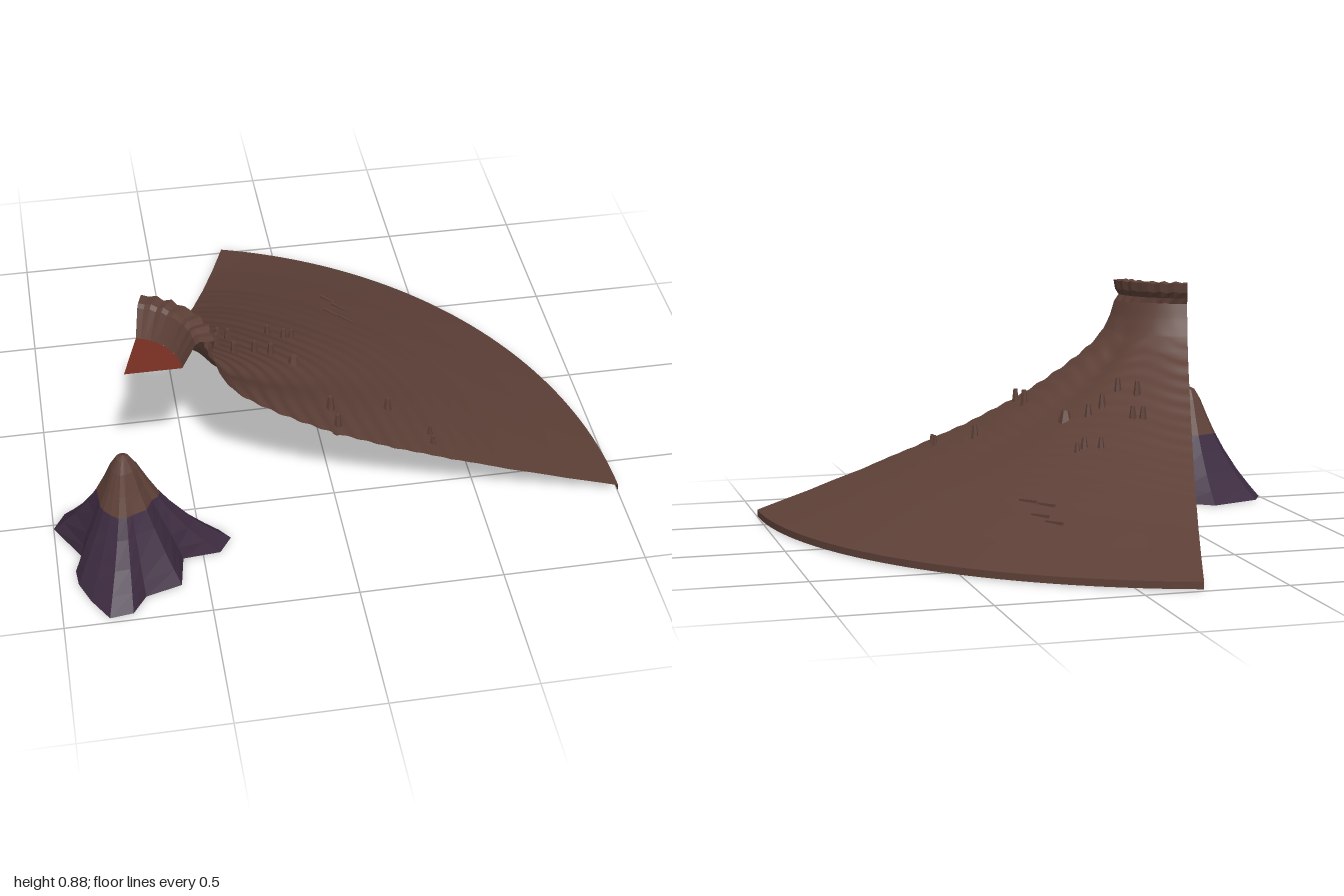
import * as THREE from 'three';

const CX = -0.725, CZ = 0.659, R = 1.725, SWEEP = 1.265, NECK = 0.265;

const mat = (name, color) => {
  const m = new THREE.MeshStandardMaterial({ color, side: THREE.DoubleSide });
  m.name = name;
  return m;
};

// Surface from a grid of points p(i, j); flat splits the faces
function grid(nu, nv, p, flat) {
  const pos = [], idx = [];
  for (let i = 0; i <= nu; i++) for (let j = 0; j <= nv; j++) pos.push(...p(i, j));
  for (let i = 0; i < nu; i++) for (let j = 0; j < nv; j++) {
    const a = i * (nv + 1) + j, b = a + nv + 1;
    idx.push(a, b, a + 1, b, b + 1, a + 1);
  }
  let g = new THREE.BufferGeometry();
  g.setAttribute('position', new THREE.Float32BufferAttribute(pos, 3));
  g.setIndex(idx);
  if (flat) g = g.toNonIndexed();
  g.computeVertexNormals();
  return g;
}

const polar = (r, a, y) => [CX + r * Math.cos(a), y, CZ - r * Math.sin(a)];

// Mountain profile: radius, height
const PROFILE = [[NECK, 0.8], [0.285, 0.74], [0.315, 0.68], [0.375, 0.615], [0.48, 0.535], [0.585, 0.465],
  [0.69, 0.4], [0.9, 0.288], [1.11, 0.198], [1.32, 0.125], [1.53, 0.07], [R, 0.03]];

// The neck is a little wider towards the front edge
const neckRadius = (a) => NECK + 0.03 * (1 - a / SWEEP);

function slopeHeight(r, a) {
  const re = r - (neckRadius(a) - NECK) * Math.max(0, 1 - (r - NECK) / 0.45);
  let k = 0;
  while (k < PROFILE.length - 2 && re > PROFILE[k + 1][0]) k++;
  const [r0, y0] = PROFILE[k], [r1, y1] = PROFILE[k + 1];
  const y = y0 + (y1 - y0) * (re - r0) / (r1 - r0);
  // the flank swells between its side edges
  const t = Math.min(1, Math.max(0, (r - NECK) / (R - NECK)));
  const swell = 0.05 * (1 - Math.pow((a - 0.4) / (SWEEP - 0.4), 4)) * Math.sin(Math.PI * Math.pow(t, 1.3));
  // shallow gully and small ledges near the top
  const fade = Math.min(1, t * 10) * Math.max(0, 1 - t * 1.3);
  const gully = -0.025 * Math.exp(-Math.pow((a - 0.45) / 0.14, 2));
  const ledge = 0.004 * Math.sin(r * 95 + 2 * Math.sin(a * 9));
  return y + swell + fade * (gully + ledge);
}

const heightAt = (x, z) => slopeHeight(Math.hypot(x - CX, z - CZ), Math.atan2(CZ - z, x - CX));

// Outline of the small cone's foot: x, z
const FOOT = [[-0.76, 0.38], [-0.645, 0.47], [-0.57, 0.55], [-0.43, 0.62], [-0.395, 0.665], [-0.44, 0.73], [-0.57, 0.74],
  [-0.59, 0.865], [-0.715, 0.9], [-0.765, 0.97], [-0.845, 0.98], [-0.9, 0.89], [-0.935, 0.805], [-0.94, 0.74],
  [-0.915, 0.67], [-1, 0.52], [-0.957, 0.45]];
const PX = -0.75, PZ = 0.665;

// Cone ring: height, mean radius, how strongly it follows the foot outline
function coneBand(levels) {
  return grid(levels.length - 1, FOOT.length, (i, j) => {
    const [y, r, lobe] = levels[i];
    const [x, z] = FOOT[j % FOOT.length];
    const dx = x - PX, dz = z - PZ, d = Math.hypot(dx, dz);
    const s = r * (1 + lobe * (d / 0.25 - 1)) / d;
    return [PX + dx * s, y, PZ + dz * s];
  }, true);
}

export function createModel() {
  const group = new THREE.Group();
  const rock = mat('brown rock', 0x5d4037);
  const purple = mat('purple rock', 0x3d2b40);
  const lava = mat('dull red lava', 0x742e22);
  const add = (name, geo, m, parent = group) => {
    const mesh = new THREE.Mesh(geo, m);
    mesh.name = name;
    parent.add(mesh);
    return mesh;
  };

  // Mountain slope sector
  add('mountainSlope', grid(120, 48, (i, j) => {
    const a = SWEEP * j / 48, r0 = neckRadius(a);
    const r = r0 + (R - r0) * Math.pow(i / 120, 1.4);
    return polar(r, a, slopeHeight(r, a));
  }), rock);

  // Thin vertical edge at the foot
  add('slopeEdge', grid(1, 48, (i, j) => polar(R, SWEEP * j / 48, i ? 0.005 : 0.03)), rock);

  // Crater rim with an uneven, blocky crest
  const RIM = [[0.19, 0.78], [0.236, 0.872], [0.25, 0.882], [0.293, 0.88], [0.287, 0.845], [0.272, 0.82], [NECK, 0.795]];
  add('craterRim', grid(RIM.length - 1, 14, (i, j) => {
    const [r, y] = RIM[i], a = SWEEP * j / 14, bump = Math.sin(j * 2.7);
    const outer = i === 6 ? neckRadius(a) - NECK : i > 2 ? 0.004 * bump + 0.005 : 0;
    return polar(r + outer, a, y + (i > 0 && i < 5 ? 0.004 * (bump - 0.5) : 0));
  }, true), rock);

  // Lava floor of the crater
  add('lavaFloor', grid(1, 16, (i, j) => polar(i * 0.19, SWEEP * j / 16, 0.78)), lava);

  // Standing boulders: x, z, radius, height
  const boulders = new THREE.Group();
  boulders.name = 'boulders';
  group.add(boulders);
  [[-0.315, 0.075, 0.018, 0.07], [-0.35, 0.06, 0.018, 0.07], [-0.37, 0.19, 0.018, 0.08], [-0.315, 0.255, 0.018, 0.08],
    [-0.235, 0.2, 0.018, 0.08], [-0.175, 0.18, 0.018, 0.07], [-0.1, 0.23, 0.03, 0.05], [-0.155, -0.04, 0.016, 0.06],
    [-0.1, -0.01, 0.018, 0.06], [-0.07, -0.02, 0.014, 0.05], [0.2, 0.43, 0.019, 0.08], [-0.02, 0.52, 0.02, 0.09],
    [-0.01, 0.61, 0.018, 0.08], [0.33, 0.54, 0.013, 0.06], [0.33, 0.59, 0.013, 0.05]].forEach(([x, z, r, h], i) => {
    const g = new THREE.CylinderGeometry(r * 0.45, r, h, 6).toNonIndexed();
    g.computeVertexNormals();
    const b = add('boulder', g, rock, boulders);
    b.position.set(x, heightAt(x, z) + 0.008, z);
    b.rotation.y = i * 1.1;
  });

  // Low ledges on the back of the slope
  [[0.14, -0.44], [0.17, -0.37], [0.13, -0.31], [0.18, -0.25]].forEach(([x, z]) => {
    const l = add('ledge', new THREE.BoxGeometry(0.07, 0.014, 0.008), rock, boulders);
    l.position.set(x, heightAt(x, z), z);
    l.rotation.y = -0.85;
  });

  // Small separate hollow cone: purple foot, brown peak
  add('coneFoot', coneBand([[0.002, 0.25, 1], [0.05, 0.218, 0.85], [0.11, 0.18, 0.65],
    [0.19, 0.134, 0.5], [0.255, 0.102, 0.35]]), purple);
  add('conePeak', coneBand([[0.255, 0.102, 0.35], [0.32, 0.073, 0.3], [0.39, 0.045, 0.2], [0.43, 0.022, 0.1],
    [0.44, 0.001, 0]]), rock);
  return group;
}
